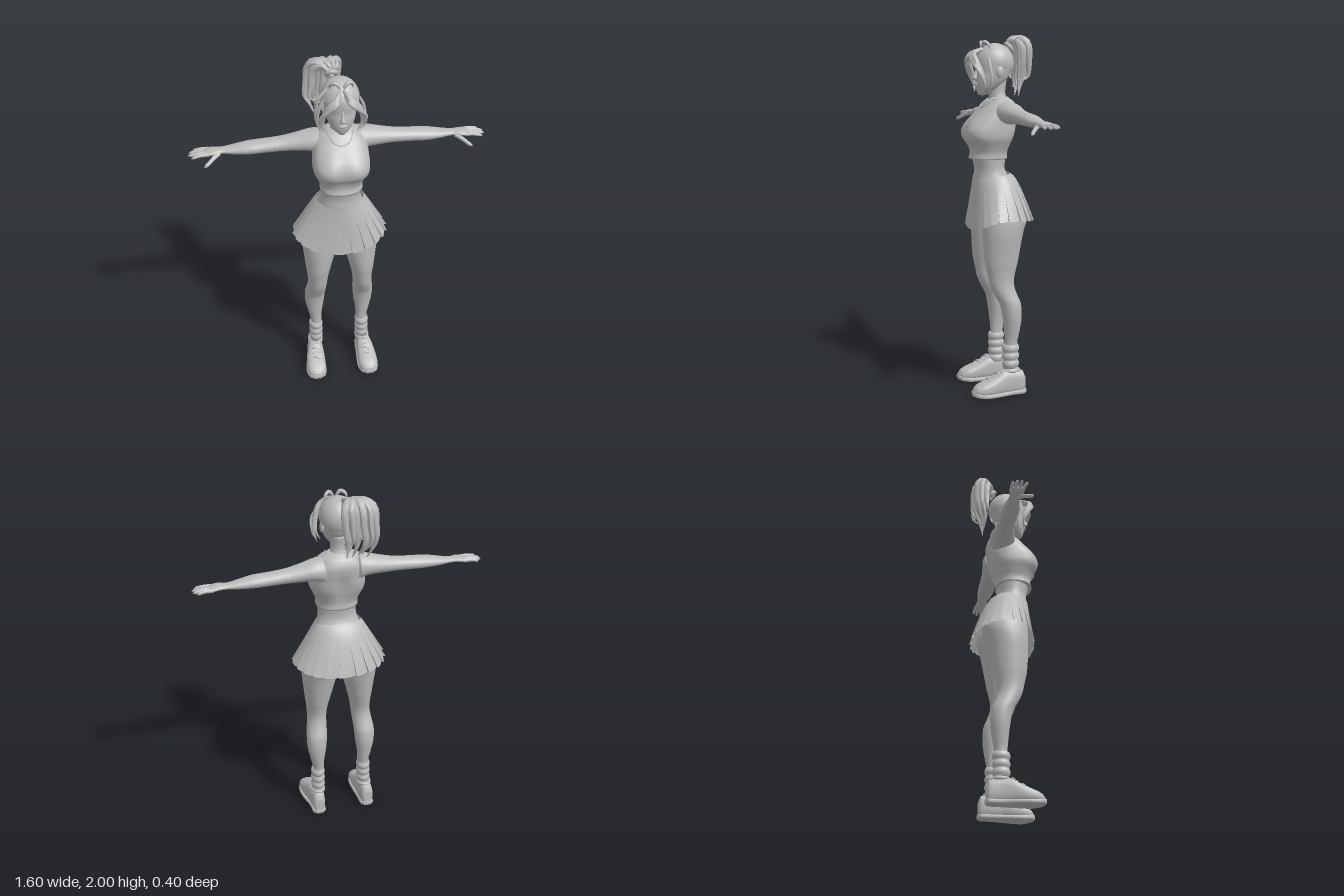
import * as THREE from 'three';
import { toCreasedNormals } from 'three/addons/utils/BufferGeometryUtils.js';

const clay = new THREE.MeshStandardMaterial({ color: 0xbababa });
clay.name = 'clay grey';
const clayTwoSided = clay;
clayTwoSided.side = THREE.DoubleSide;

// Smooth loft. Row: [t, a0, a1, b0, b1, roundness]; axis 'y': a=x b=z, 'x': a=y b=z, 'z': a=x b=y.
function loft(rows, axis = 'y', n = 32, sub = 4) {
  const at = (i, k) => rows[Math.min(Math.max(i, 0), rows.length - 1)][k] ?? 2;
  const rings = [];
  for (let i = 0; i < rows.length - 1; i++) {
    for (let s = 0; s < (i === rows.length - 2 ? sub + 1 : sub); s++) {
      const f = s / sub;
      rings.push([0, 1, 2, 3, 4, 5].map((k) => {
        const p0 = at(i, k), p1 = at(i + 1, k);
        if (k === 0) return p0 + (p1 - p0) * f;
        const m0 = (p1 - at(i - 1, k)) / 2, m1 = (at(i + 2, k) - p0) / 2;
        return (2 * f ** 3 - 3 * f * f + 1) * p0 + (f ** 3 - 2 * f * f + f) * m0
          + (3 * f * f - 2 * f ** 3) * p1 + (f ** 3 - f * f) * m1;
      }));
    }
  }
  const pos = [], idx = [];
  const put = (t, a, b) => pos.push(...(axis === 'y' ? [a, t, b] : axis === 'x' ? [t, a, b] : [a, b, t]));
  const tri = (a, b, c) => (axis === 'y' ? idx.push(a, b, c) : idx.push(a, c, b));
  const bend = (v, p) => Math.sign(v) * Math.abs(v) ** (2 / p);
  for (const [t, a0, a1, b0, b1, p] of rings) {
    for (let j = 0; j < n; j++) {
      const w = (j / n) * Math.PI * 2;
      put(t, (a0 + a1) / 2 + ((a1 - a0) / 2) * bend(Math.cos(w), p),
        (b0 + b1) / 2 + ((b1 - b0) / 2) * bend(Math.sin(w), p));
    }
  }
  const last = (rings.length - 1) * n, c = rings.length * n;
  for (const r of [rings[0], rings[rings.length - 1]]) put(r[0], (r[1] + r[2]) / 2, (r[3] + r[4]) / 2);
  for (let j = 0; j < n; j++) {
    const k = (j + 1) % n;
    for (let i = 0; i < last; i += n) {
      tri(i + j, i + n + j, i + n + k);
      tri(i + j, i + n + k, i + k);
    }
    tri(c, j, k);
    tri(c + 1, last + k, last + j);
  }
  const g = new THREE.BufferGeometry();
  g.setAttribute('position', new THREE.Float32BufferAttribute(pos, 3));
  g.setIndex(idx);
  g.computeVertexNormals();
  return g;
}

// Tube along points, its radius following a rule of u
function strand(points, radius, taper = (u) => 0.12 + 0.88 * Math.sin(Math.PI * (0.2 + 0.8 * u)), seg = 16) {
  const curve = new THREE.CatmullRomCurve3(points.map((p) => new THREE.Vector3(...p)));
  const g = new THREE.TubeGeometry(curve, seg, radius, 7);
  const p = g.attributes.position, v = new THREE.Vector3();
  for (let i = 0; i < p.count; i++) {
    const u = Math.floor(i / 8) / seg, c = curve.getPointAt(u);
    v.fromBufferAttribute(p, i).sub(c).multiplyScalar(taper(u)).add(c);
    p.setXYZ(i, v.x, v.y, v.z);
  }
  g.computeVertexNormals();
  return g;
}

function mirrored(g) {
  const m = g.clone().scale(-1, 1, 1), ix = m.index.array;
  for (let i = 0; i < ix.length; i += 3) [ix[i], ix[i + 1]] = [ix[i + 1], ix[i]];
  m.computeVertexNormals();
  return m;
}

// Pleated skirt: waist to a wide hem, each pleat stepping over the next
function skirtGeometry() {
  const pleats = 22, per = 6, rows = 14, pos = [], idx = [];
  const lerp = THREE.MathUtils.lerp, cols = pleats * (per + 1);
  for (let i = 0; i <= rows; i++) {
    const v = i / rows;
    for (let k = 0; k < cols; k++) {
      const f = (k % (per + 1)) / per, w = ((Math.floor(k / (per + 1)) + f) / pleats) * Math.PI * 2;
      const c = Math.cos(w), s = Math.sin(w), front = s > 0;
      const fold = 1 + 0.075 * (f - 0.65) * Math.max(0, v - 0.25);
      const q = 2 / lerp(2, 2.35, v);
      const rx = lerp(0.13, 0.262, v ** 0.95);
      const rz = front ? lerp(0.125, 0.15, v) : lerp(0.075, 0.2, v ** 0.6);
      const hem = (front ? lerp(1.0, 0.93, s * s) : lerp(1.0, 0.975, s * s)) + 0.008 * Math.abs(f - 0.5);
      pos.push(Math.sign(c) * Math.abs(c) ** q * rx * fold, lerp(1.235 - 0.012 * s, hem, v),
        0.015 + Math.sign(s) * Math.abs(s) ** q * rz * fold);
    }
  }
  for (let i = 0; i < rows; i++) {
    for (let k = 0; k < cols; k++) {
      const a = i * cols + k, b = i * cols + ((k + 1) % cols);
      idx.push(a, b, a + cols, b, b + cols, a + cols);
    }
  }
  const g = new THREE.BufferGeometry();
  g.setAttribute('position', new THREE.Float32BufferAttribute(pos, 3));
  g.setIndex(idx.map((_, i) => idx[i - (i % 3) + [0, 2, 1][i % 3]]));
  return toCreasedNormals(g, 0.6);
}

export function createModel() {
  const model = new THREE.Group();
  model.name = 'woman in pleated skirt';
  const add = (name, g, mat = clay) => {
    const m = new THREE.Mesh(g, mat);
    m.name = name;
    model.add(m);
    return m;
  };
  const pair = (name, g) => { add('left ' + name, g); add('right ' + name, mirrored(g)); };
  const sym = (rows) => rows.map(([y, x, ...r]) => [y, -x, x, ...r]);

  // Torso
  add('waist', loft(sym([[0.95, 0.12, -0.09, 0.1], [1.05, 0.18, -0.12, 0.12], [1.15, 0.155, -0.11, 0.13],
    [1.22, 0.122, -0.06, 0.135], [1.27, 0.108, -0.035, 0.132], [1.34, 0.11, -0.04, 0.145]])));
  const top = loft(sym([[1.325, 0.116, -0.047, 0.163, 2.3], [1.36, 0.117, -0.046, 0.155, 2.3],
    [1.4, 0.132, -0.057, 0.166, 2.5], [1.44, 0.149, -0.073, 0.193, 2.7], [1.48, 0.152, -0.085, 0.199, 2.7],
    [1.52, 0.15, -0.093, 0.18, 2.5], [1.56, 0.146, -0.1, 0.143, 2.4], [1.6, 0.138, -0.102, 0.105, 2.3],
    [1.64, 0.11, -0.085, 0.07, 2.1], [1.665, 0.062, -0.055, 0.045]]), 'y', 48);
  const tp = top.attributes.position;
  for (let i = 0; i < tp.count; i++) { // soft hollow between the breasts and along the spine
    const x = tp.getX(i), y = tp.getY(i), z = tp.getZ(i);
    const hollow = 0.016 * Math.exp(-((x / 0.035) ** 2)) * Math.exp(-(((y - 1.48) / 0.07) ** 2));
    tp.setZ(i, z + (z > 0.1 ? -hollow : z < -0.03 ? hollow : 0));
  }
  top.computeVertexNormals();
  add('crop top', top);
  add('neckline', strand([[-0.07, 1.655, 0.035], [-0.045, 1.62, 0.085], [0, 1.602, 0.102],
    [0.045, 1.62, 0.085], [0.07, 1.655, 0.035]], 0.004, () => 1));
  add('skirt', skirtGeometry(), clayTwoSided);

  // Neck and head
  add('neck', loft(sym([[1.6, 0.075, -0.075, 0.05], [1.65, 0.055, -0.055, 0.05],
    [1.69, 0.046, -0.042, 0.052], [1.76, 0.048, -0.05, 0.055]])));
  add('head', loft(sym([[1.675, 0.018, 0.07, 0.108], [1.69, 0.038, 0.03, 0.117], [1.72, 0.062, -0.01, 0.124],
    [1.76, 0.078, -0.05, 0.126], [1.8, 0.085, -0.068, 0.122], [1.84, 0.089, -0.078, 0.126],
    [1.88, 0.089, -0.078, 0.122], [1.92, 0.07, -0.055, 0.095], [1.945, 0.03, -0.01, 0.05]])));
  add('nose', loft(sym([[1.758, 0.013, 0.11, 0.137], [1.768, 0.014, 0.11, 0.149],
    [1.79, 0.009, 0.11, 0.138], [1.82, 0.006, 0.1, 0.126]]), 'y', 12));
  add('lips', new THREE.SphereGeometry(1, 16, 8).scale(0.022, 0.009, 0.01).translate(0, 1.735, 0.124));
  pair('ear', new THREE.SphereGeometry(1, 14, 10).scale(0.012, 0.032, 0.02).translate(0.09, 1.8, 0.015));

  // Hair: cap, parted fringe, and a ponytail swept to one side
  const cap = new THREE.SphereGeometry(1, 32, 14, 0, Math.PI * 2, 0, Math.PI * 0.55);
  add('hair cap', cap.scale(0.102, 0.108, 0.107).rotateX(-0.35).translate(0, 1.85, 0.018), clayTwoSided);
  for (let i = 0; i < 3; i++) {
    const d = i * 0.009;
    pair('fringe lock', strand([[0.01, 1.925 - d, 0.09], [0.035, 1.9 - d, 0.145 + d], [0.075, 1.865 - d, 0.148 + d * 0.6],
      [0.098 + d, 1.8, 0.12 + d], [0.1 + d, 1.74 - d, 0.105], [0.075 + d * 2, 1.69 + d, 0.11]], 0.015 - i * 0.002));
  }
  pair('side wisp', strand([[0.09, 1.88, 0.08], [0.115, 1.82, 0.075], [0.122, 1.75, 0.07], [0.1, 1.69, 0.075]], 0.009));
  add('stray lock', strand([[-0.07, 1.92, 0.05], [-0.115, 1.87, 0.06], [-0.13, 1.78, 0.05],
    [-0.115, 1.7, 0.07], [-0.085, 1.665, 0.06]], 0.011));
  pair('crown curl', strand([[0.008, 1.935, 0.09], [0.03, 1.962, 0.085], [0.055, 1.95, 0.07], [0.06, 1.92, 0.06]], 0.011));
  add('hair tie', new THREE.TorusGeometry(0.026, 0.012, 8, 18).rotateX(0.7).translate(-0.03, 1.935, -0.075));
  for (let i = 0; i < 15; i++) {
    const a = i / 14, out = 0.5 + 0.5 * Math.sin(i * 2.4), x = -0.155 + 0.17 * a;
    const end = 1.66 + 0.11 * (0.5 + 0.5 * Math.sin(i * 4.1));
    add('ponytail lock', strand([[-0.03, 1.925, -0.07], [-0.045 + (x + 0.05) * 0.35, 1.972 + 0.012 * out, -0.095 - 0.02 * out],
      [x * 0.9, 1.945 + 0.02 * out, -0.115 - 0.055 * out], [x, 1.86, -0.12 - 0.065 * out],
      [x - 0.008, 1.77, -0.115 - 0.065 * out], [x * 0.8, end, -0.12 - 0.02 * out]], 0.021));
  }
  for (let i = 0; i < 3; i++) {
    add('ponytail tuft', strand([[-0.03, 1.94, -0.08], [-0.04 + 0.02 * i, 1.975, -0.085], [-0.07 + 0.035 * i, 1.996, -0.1 - 0.01 * i]], 0.014));
  }

  // Arms and hands
  pair('arm', loft([[0.09, 1.5, 1.645, -0.095, 0.06], [0.15, 1.522, 1.637, -0.1, 0.045],
    [0.22, 1.525, 1.62, -0.092, 0.028], [0.3, 1.527, 1.604, -0.085, 0.015], [0.4, 1.525, 1.595, -0.084, 0.013],
    [0.48, 1.524, 1.589, -0.084, 0.014], [0.56, 1.529, 1.574, -0.075, 0.001], [0.62, 1.535, 1.565, -0.067, -0.01],
    [0.66, 1.535, 1.566, -0.072, 0.002], [0.7, 1.532, 1.56, -0.078, 0.002], [0.72, 1.537, 1.552, -0.07, -0.008]], 'x', 24));
  const fingerTaper = (u) => Math.min(1, 0.25 + (1 - u) * 6) * (1 - 0.25 * u);
  [[0.775, -0.068, -0.073], [0.795, -0.047, -0.052], [0.798, -0.027, -0.026], [0.782, -0.008, 0.003]].forEach(([x, z0, z1]) =>
    pair('finger', strand([[0.69, 1.547, z0], [0.74, 1.546, (z0 + z1) / 2], [x, 1.537, z1]], 0.011, fingerTaper)));
  pair('thumb', strand([[0.635, 1.545, -0.015], [0.67, 1.53, 0.012], [0.695, 1.515, 0.032], [0.718, 1.503, 0.047]], 0.013, fingerTaper));

  // Legs
  pair('leg', loft([[0.15, 0.108, 0.175, -0.073, 0.01], [0.22, 0.107, 0.17, -0.07, 0.005], [0.3, 0.105, 0.171, -0.072, 0.001],
    [0.36, 0.102, 0.183, -0.083, 0.005], [0.44, 0.09, 0.199, -0.093, 0.014], [0.52, 0.083, 0.202, -0.089, 0.03],
    [0.58, 0.079, 0.193, -0.066, 0.062], [0.63, 0.076, 0.187, -0.053, 0.084], [0.68, 0.07, 0.188, -0.057, 0.095],
    [0.75, 0.055, 0.196, -0.075, 0.11], [0.85, 0.03, 0.207, -0.095, 0.118], [0.93, 0.012, 0.215, -0.112, 0.12],
    [1.0, 0.004, 0.212, -0.135, 0.12], [1.06, 0.002, 0.195, -0.13, 0.12], [1.12, 0.02, 0.15, -0.09, 0.1]]));

  // Slouched socks
  const sock = [];
  for (let i = 0; i <= 12; i++) {
    const r = i % 3 === 0 ? -0.004 : 0.002;
    sock.push([0.11 + i * 0.0147, 0.102 - r, 0.178 + r, -0.079 - r, 0.013 + r]);
  }
  pair('sock', loft(sock, 'y', 24, 3));

  // Shoes with soles, collar and laces
  pair('shoe', loft([[-0.113, 0.125, 0.172, 0.015, 0.1, 2.6], [-0.1, 0.114, 0.184, 0.006, 0.13, 2.6],
    [-0.04, 0.106, 0.19, 0.004, 0.14, 2.8], [0.015, 0.103, 0.2, 0.004, 0.142, 2.6], [0.06, 0.1, 0.21, 0.004, 0.118, 2.5],
    [0.1, 0.1, 0.215, 0.004, 0.098, 2.5], [0.145, 0.102, 0.215, 0.006, 0.08, 2.5],
    [0.175, 0.115, 0.203, 0.01, 0.064, 2.4], [0.19, 0.135, 0.185, 0.02, 0.048]], 'z', 28));
  pair('sole', loft([[-0.117, 0.125, 0.173, 0.004, 0.03, 4], [-0.1, 0.11, 0.188, 0, 0.028, 4], [-0.03, 0.105, 0.192, 0, 0.026, 4],
    [0.05, 0.099, 0.212, 0, 0.026, 4], [0.13, 0.097, 0.22, 0, 0.028, 4], [0.178, 0.112, 0.206, 0.006, 0.034, 4],
    [0.196, 0.136, 0.184, 0.012, 0.038, 4]], 'z', 28));
  pair('shoe collar', new THREE.TorusGeometry(1, 0.16, 8, 24).rotateX(Math.PI / 2).scale(0.038, 0.05, 0.046).translate(0.143, 0.138, -0.034));
  for (let i = 0; i < 4; i++) {
    const y = 0.142 - i * 0.014, z = 0.022 + i * 0.026, s = i % 2 ? 0.008 : -0.008;
    pair('lace', strand([[0.122, y - 0.012, z + s], [0.153, y + 0.003, z], [0.186, y - 0.012, z - s]], 0.006, () => 1, 8));
  }
  return model;
}
